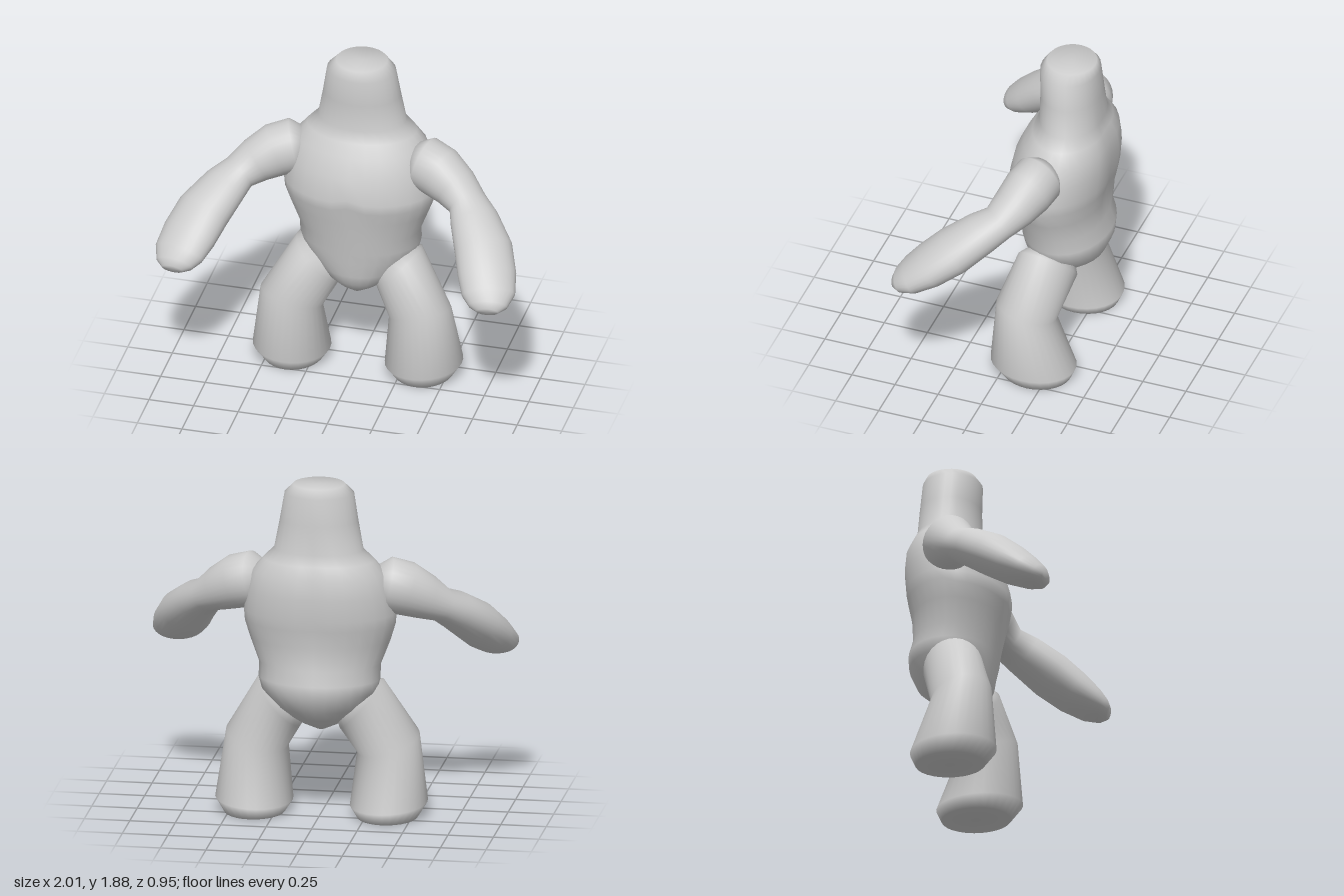
import * as THREE from 'three';

const SIDES = 28;
const material = new THREE.MeshStandardMaterial({ color: 0xcccccc });
const V = (x, y, z) => new THREE.Vector3(x, y, z);

// Skin a stack of closed rings, closing each end with a centre point.
function loft(rings, flip) {
  const pos = [], index = [];
  const tri = (a, b, c) => (flip ? index.push(a, c, b) : index.push(a, b, c));
  rings.forEach((ring) => ring.forEach((p) => pos.push(p.x, p.y, p.z)));
  const last = (rings.length - 1) * SIDES;
  [rings[0], rings[rings.length - 1]].forEach((ring) => {
    const c = ring.reduce((sum, p) => sum.add(p), V(0, 0, 0)).divideScalar(SIDES);
    pos.push(c.x, c.y, c.z);
  });
  const startCap = rings.length * SIDES, endCap = startCap + 1;
  for (let j = 0; j < SIDES; j++) {
    const k = (j + 1) % SIDES;
    for (let i = 0; i < rings.length - 1; i++) {
      const a = i * SIDES + j, b = i * SIDES + k;
      tri(a, b, a + SIDES);
      tri(b, b + SIDES, a + SIDES);
    }
    tri(startCap, k, j);
    tri(endCap, last + j, last + k);
  }
  const g = new THREE.BufferGeometry();
  g.setAttribute('position', new THREE.Float32BufferAttribute(pos, 3));
  g.setIndex(index);
  g.computeVertexNormals();
  return g;
}

// Ellipse c + u cos + v sin; u x v points along the stack.
function ellipse(c, u, v, side = 1) {
  return Array.from({ length: SIDES }, (_, j) => {
    const a = (j / SIDES) * Math.PI * 2;
    const p = c.clone().addScaledVector(u, Math.cos(a)).addScaledVector(v, Math.sin(a));
    p.x *= side;
    return p;
  });
}

// Head and body: y, half width, front z, back z, depth of the spine groove
function torsoGeometry() {
  const sections = [
    [0.48, 0.03, -0.12, -0.2, 0],
    [0.52, 0.11, -0.07, -0.28, 0],
    [0.57, 0.18, -0.03, -0.36, 0],
    [0.63, 0.24, -0.01, -0.43, 0],
    [0.72, 0.315, 0, -0.47, 0],
    [0.79, 0.335, 0.015, -0.475, 0],
    [0.87, 0.335, 0.025, -0.45, 0.01],
    [1.0, 0.385, 0.05, -0.455, 0.015],
    [1.1, 0.415, 0.068, -0.475, 0.02],
    [1.16, 0.42, 0.08, -0.485, 0.02],
    [1.28, 0.405, 0.05, -0.495, 0.02],
    [1.39, 0.365, 0, -0.485, 0.02],
    [1.46, 0.305, -0.045, -0.455, 0.015],
    [1.52, 0.245, -0.08, -0.43, 0.01],
    [1.68, 0.215, -0.08, -0.415, 0],
    [1.83, 0.19, -0.075, -0.4, 0],
    [1.88, 0.14, -0.11, -0.38, 0],
  ];
  return loft(sections.map(([y, w, front, back, groove]) => {
    const ring = ellipse(V(0, y, (front + back) / 2), V(w, 0, 0), V(0, 0, -(front - back) / 2));
    ring.forEach((p) => {
      if (p.z < (front + back) / 2) p.z += groove * Math.exp(-((p.x / 0.07) ** 2));
      // chest edge rises to a peak in the middle
      else if (y === 1.16 || y === 1.1) p.y += 0.03 * Math.exp(-((p.x / 0.07) ** 2)) - 0.02;
    });
    return ring;
  }));
}

// Leg: centre, half width vector (x, y), half depth vector (y, z)
function legGeometry(side) {
  const sections = [
    [0.365, 0, -0.18, 0.165, 0, 0, 0.19],
    [0.37, 0.075, -0.162, 0.212, 0.01, 0.01, 0.237],
    [0.36, 0.405, -0.118, 0.17, 0.045, 0.04, 0.165],
    [0.225, 0.635, -0.19, 0.12, 0.13, 0.02, 0.165],
    [0.175, 0.68, -0.2, 0.09, 0.09, 0.01, 0.12],
  ];
  return loft(sections.map(([x, y, z, ux, uy, vy, vz]) =>
    ellipse(V(x, y, z), V(ux, uy, 0), V(0, -vy, -vz), side)), side < 0);
}

// Arm: centre, horizontal radius, upright radius; rings sit square to the path
function armGeometry(side) {
  const sections = [
    [0.31, 1.32, -0.2, 0.1, 0.1],
    [0.365, 1.315, -0.19, 0.14, 0.15],
    [0.46, 1.285, -0.16, 0.14, 0.15],
    [0.56, 1.23, -0.115, 0.125, 0.125],
    [0.64, 1.175, -0.06, 0.11, 0.095],
    [0.7, 1.125, 0.02, 0.135, 0.108],
    [0.785, 1.03, 0.15, 0.16, 0.118],
    [0.835, 0.94, 0.265, 0.16, 0.108],
    [0.868, 0.872, 0.36, 0.145, 0.085],
    [0.88, 0.835, 0.42, 0.105, 0.06],
    [0.884, 0.82, 0.45, 0.06, 0.03],
  ];
  const centres = sections.map(([x, y, z]) => V(x, y, z));
  const rings = sections.map(([, , , ru, rv], i) => {
    const t = centres[Math.min(i + 1, centres.length - 1)].clone()
      .sub(centres[Math.max(i - 1, 0)]).normalize();
    const u = V(t.z, 0, -t.x).normalize();
    const v = t.clone().cross(u);
    return ellipse(centres[i], u.multiplyScalar(ru), v.multiplyScalar(rv), side);
  });
  return loft(rings, side < 0);
}

export function createModel() {
  const model = new THREE.Group();
  model.name = 'figure';
  const add = (name, geometry) => {
    const mesh = new THREE.Mesh(geometry, material);
    mesh.name = name;
    model.add(mesh);
  };
  add('headAndTorso', torsoGeometry());
  for (const [prefix, side] of [['left', 1], ['right', -1]]) {
    add(prefix + 'Arm', armGeometry(side));
    add(prefix + 'Leg', legGeometry(side));
  }
  return model;
}
